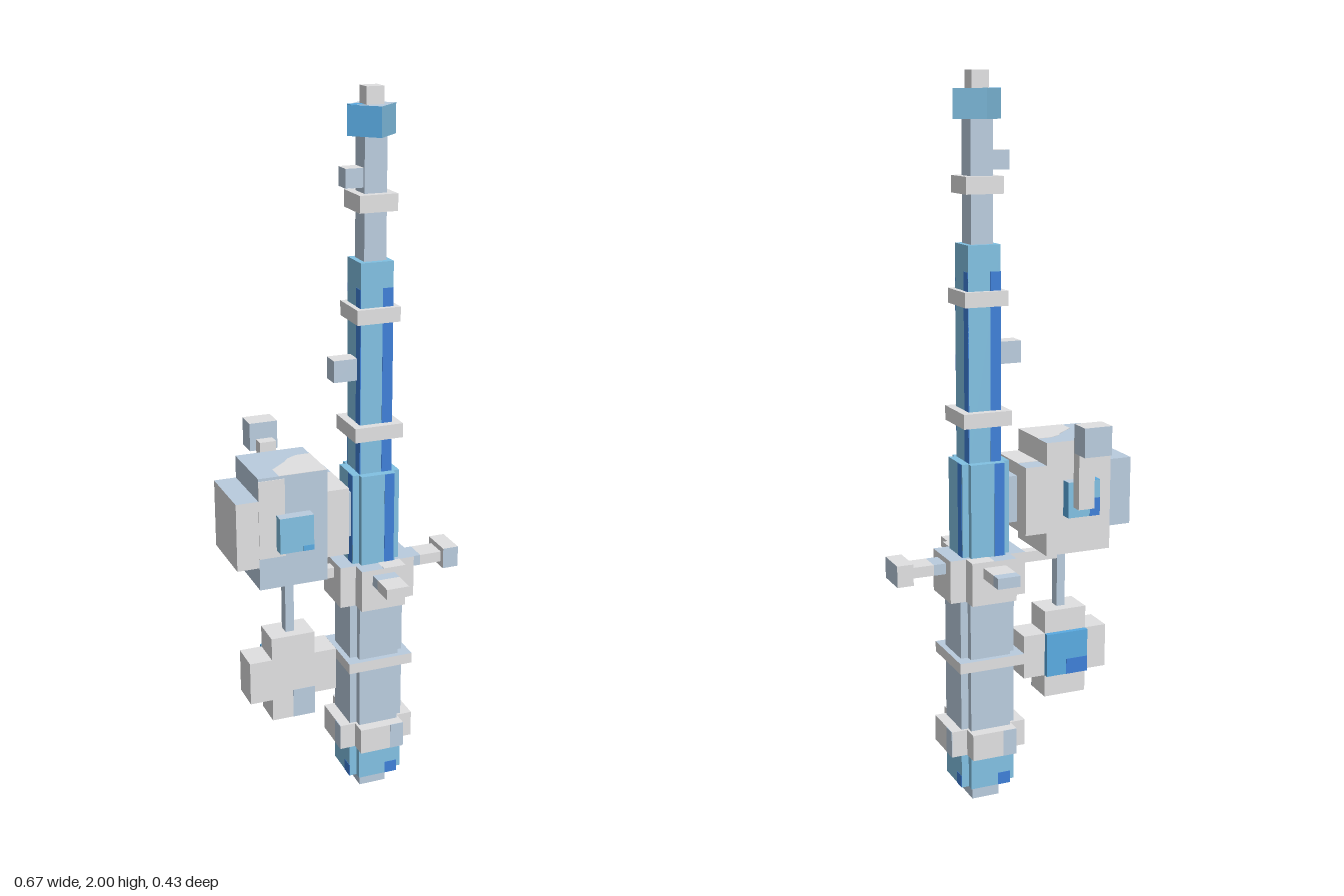
import * as THREE from 'three';

const CX = 0.08, CZ = 0.006; // axis of the rod

const mat = (name, color) => {
  const m = new THREE.MeshStandardMaterial({ color });
  m.name = name;
  return m;
};

export function createModel() {
  const model = new THREE.Group();
  model.name = 'rod';
  const light = mat('light grey', 0xe1e1e2);
  const steel = mat('blue grey', 0xbaccde);
  const teal = mat('pale blue', 0x82c1e3);
  const blue = mat('deep blue', 0x3f80d8);
  const azure = mat('mid blue', 0x5aabe2);

  // Box from its minimum and maximum on each axis; six materials go +x -x +y -y +z -z
  const box = (name, x, y, z, material, parent = model) => {
    const g = new THREE.BoxGeometry(x[1] - x[0], y[1] - y[0], z[1] - z[0]);
    const m = new THREE.Mesh(g, material);
    m.position.set((x[0] + x[1]) / 2, (y[0] + y[1]) / 2, (z[0] + z[1]) / 2);
    m.name = name;
    parent.add(m);
    return m;
  };
  const withTop = (side, top) => [side, side, top, side, side, side];
  // Square block on the rod's axis
  const block = (name, half, y0, y1, material) =>
    box(name, [CX - half, CX + half], [y0, y1], [CZ - half, CZ + half], material);
  // Plus-shaped block: a core with four side pieces
  const plus = (name, outer, inner, y0, y1, material) => {
    block(name + 'Core', inner, y0, y1, material);
    for (const s of [-1, 1]) {
      const r = c => [c + s * inner, c + s * outer].sort((a, b) => a - b);
      box(name + 'Side', r(CX), [y0, y1], [CZ - inner, CZ + inner], material);
      box(name + 'Side', [CX - inner, CX + inner], [y0, y1], r(CZ), material);
    }
  };
  // The same painted strip on all four faces of the rod
  const strips = (name, half, from, to, y0, y1, material = blue) => {
    for (let i = 0; i < 4; i++) {
      const face = new THREE.Group();
      face.name = name;
      face.position.set(CX, 0, CZ);
      face.rotation.y = i * Math.PI / 2;
      box(name, [from, to], [y0, y1], [half - 0.001, half + 0.001], material, face);
      model.add(face);
    }
  };

  // Butt and grip
  block('buttCap', 0.04, 0, 0.05, steel);
  plus('butt', 0.079, 0.058, 0.05, 0.15, teal);
  strips('buttStrip', 0.079, 0.022, 0.058, 0.05, 0.085);
  plus('lowerRing', 0.11, 0.065, 0.15, 0.225, light);
  strips('lowerRingPatch', 0.11, 0.025, 0.065, 0.15, 0.225, steel);
  plus('grip', 0.079, 0.058, 0.225, 0.6, steel);
  block('gripBand', 0.095, 0.405, 0.435, withTop(light, steel));
  plus('guard', 0.11, 0.065, 0.6, 0.72, withTop(light, steel));
  for (const z of [[-0.104, -0.059], [0.071, 0.116]])
    box('guardTopPatch', [CX, 0.145], [0.719, 0.721], z, light);

  // Shaft
  plus('lowerShaft', 0.068, 0.05, 0.72, 0.98, teal);
  strips('lowerShaftStrip', 0.068, 0.018, 0.046, 0.72, 0.979);
  block('middleShaft', 0.046, 0.98, 1.56, teal);
  strips('middleShaftStrip', 0.046, 0.016, 0.046, 0.98, 1.49);
  block('upperShaft', 0.031, 1.56, 1.88, steel);
  block('lowerBand', 0.069, 1.08, 1.12, light);
  block('middleBand', 0.061, 1.4, 1.44, light);
  block('upperBand', 0.053, 1.69, 1.735, light);

  // Line guides on the right side of the shaft
  box('lowerGuide', [-0.033, 0.034], [1.24, 1.3], [-0.02, 0.03], withTop(steel, light));
  box('upperGuide', [0, 0.049], [1.75, 1.8], [-0.02, 0.03], withTop(steel, light));

  // Turned head and tip
  const head = block('head', 0.0475, 1.878, 1.955, [teal, azure, steel, teal, teal, teal]);
  head.rotation.y = Math.PI / 4;
  box('headTopPatch', [0.018, 0.055], [1.954, 1.956], [-0.006, 0.018], azure);
  block('tip', 0.024, 1.955, 2, light);

  // Guard arms
  const ay = [0.675, 0.705];
  box('leftArmRoot', [0.19, 0.225], ay, [-0.026, 0.038], steel);
  box('leftArm', [0.225, 0.289], ay, [-0.026, 0.038], light);
  box('leftArmKnob', [0.289, 0.335], [0.66, 0.72], [-0.042, 0.054],
    [steel, light, light, light, steel, light]);
  box('frontArmRoot', [0.047, 0.112], ay, [0.116, 0.15], steel);
  box('frontArm', [0.047, 0.112], ay, [0.15, 0.215], light);
  box('backArm', [0.047, 0.112], ay, [-0.17, -0.104], light);
  box('backArmTip', [0.047, 0.112], ay, [-0.202, -0.17], steel);
  box('rightArm', [-0.15, -0.03], [0.672, 0.702], [-0.01, 0.022], light);

  // Reel drum: a plus seen from the front
  const rz = [-0.089, 0.102];
  box('reelCore', [-0.273, -0.08], [0.71, 1.028], rz, [light, steel, steel, steel, steel, light]);
  box('reelRightSide', [-0.335, -0.273], [0.775, 0.965], rz,
    [light, light, steel, light, light, steel]);
  box('reelLeftSide', [-0.08, -0.018], [0.775, 0.965], rz,
    [light, light, steel, steel, light, light]);
  box('reelFoot', [-0.03, 0.02], [0.8, 0.93], [-0.03, 0.045], steel);

  // Worn patches on the drum
  box('reelFrontPatch', [-0.273, -0.2], [0.8, 1.02], [0.102, 0.104], light);
  box('reelSideTopPatch', [-0.08, -0.018], [0.964, 0.966], [-0.032, 0.102], light);
  const worn = new THREE.Shape([[-0.215, -0.102], [-0.215, -0.05], [-0.165, -0.005], [-0.15, 0.015],
    [-0.12, 0.032], [-0.08, 0.032], [-0.08, -0.102]].map(p => new THREE.Vector2(...p)));
  const patch = new THREE.Mesh(
    new THREE.ExtrudeGeometry(worn, { depth: 0.002, bevelEnabled: false }), light);
  patch.rotation.x = -Math.PI / 2;
  patch.position.y = 1.027;
  patch.name = 'reelTopPatch';
  model.add(patch);

  // Reel hubs
  const hx = [-0.225, -0.13], hy = [0.82, 0.92];
  box('frontHub', hx, hy, [0.102, 0.134], withTop(teal, steel));
  box('frontHubCorner', [-0.16, -0.13], [0.82, 0.835], [0.133, 0.135], azure);
  box('backHub', hx, hy, [-0.121, -0.089], [azure, teal, steel, teal, teal, teal]);
  box('backHubCorner', [-0.225, -0.195], [0.919, 0.921], [-0.121, -0.089], azure);
  box('backHubStrip', [-0.225, -0.195], [0.82, 0.87], [-0.122, -0.12], blue);

  // Crank
  box('crank', [-0.192, -0.145], [0.85, 1.043], [-0.154, -0.121], light);
  box('crankKnob', [-0.21, -0.13], [1.01, 1.09], [-0.216, -0.154], withTop(steel, light));

  // Hanging line and float
  box('line', [-0.175, -0.15], [0.53, 0.71], [-0.01, 0.022], steel);
  const fz = [-0.04, 0.05];
  box('floatCore', [-0.226, -0.1], [0.275, 0.53], fz, light);
  box('floatRightSide', [-0.29, -0.226], [0.34, 0.465], fz, light);
  box('floatLeftSide', [-0.1, -0.036], [0.34, 0.465], fz, light);
  box('floatPatch', [-0.165, -0.1], [0.275, 0.36], [0.049, 0.051], steel);
  box('floatBackPanel', [-0.226, -0.1], [0.34, 0.465], [-0.055, -0.04], azure);
  box('floatBackCorner', [-0.226, -0.16], [0.34, 0.385], [-0.056, -0.054], blue);

  return model;
}
